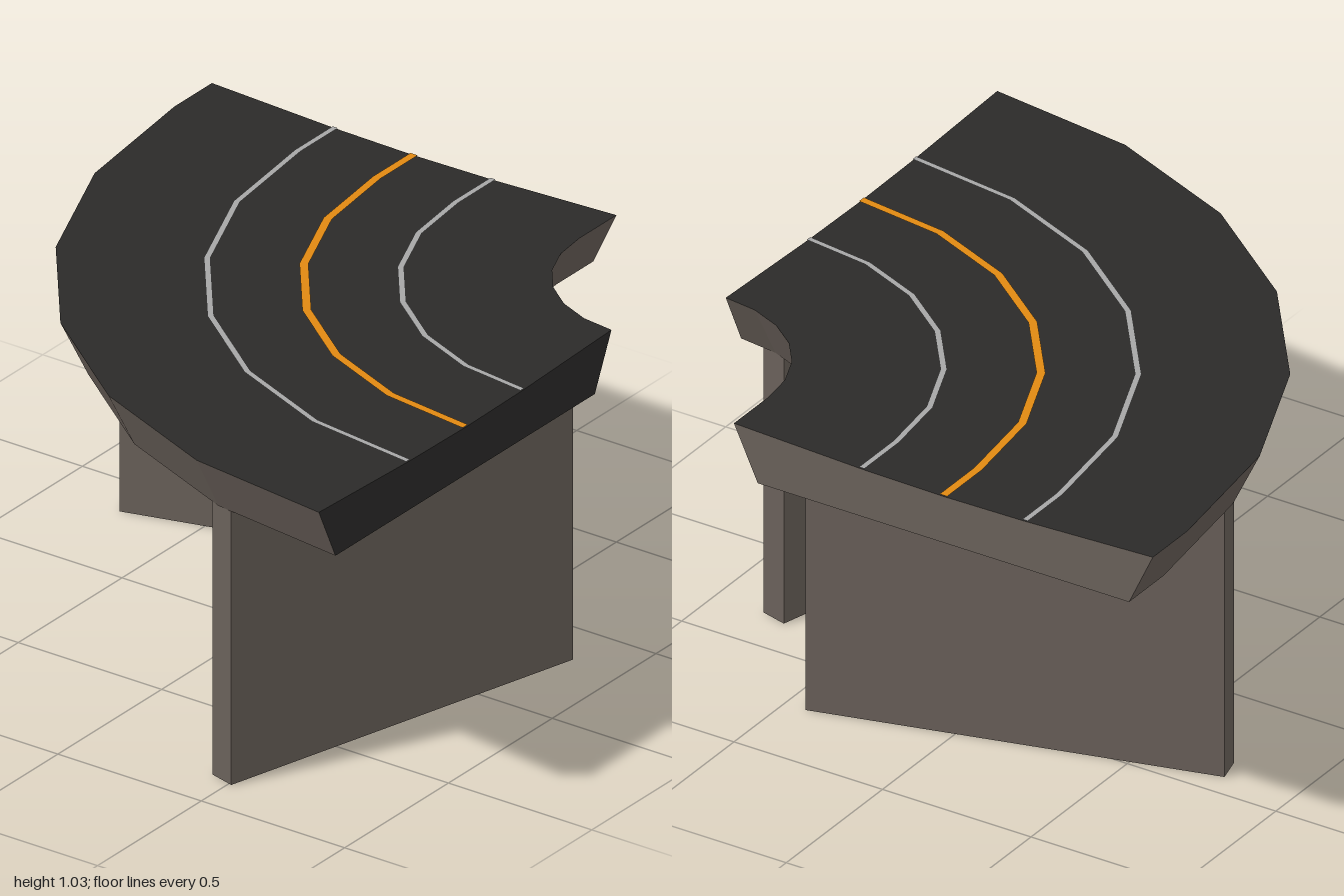
import * as THREE from 'three';

const CX = 0.82, CZ = 0.91;          // centre of the bend
const DEG = Math.PI / 180;

const mat = (color, side = THREE.FrontSide) =>
  new THREE.MeshStandardMaterial({ color, flatShading: true, side });

// Stations along the bend: a short straight lead-in, then 15 degree steps
const stations = [(r, y) => [1, y, CZ - r]];
for (let i = 0; i <= 6; i++) {
  const a = i * 15 * DEG;
  stations.push((r, y) => [CX - r * Math.sin(a), y, CZ - r * Math.cos(a)]);
}

function makeMesh(name, points, material) {
  const geo = new THREE.BufferGeometry();
  geo.setAttribute('position', new THREE.Float32BufferAttribute(points.flat(), 3));
  geo.computeVertexNormals();
  const mesh = new THREE.Mesh(geo, material);
  mesh.name = name;
  return mesh;
}

// Sweep an open profile of [radius, height] points around the bend
function sweep(name, profile, material) {
  const pts = [];
  for (let s = 0; s < stations.length - 1; s++) {
    for (let k = 0; k < profile.length - 1; k++) {
      const a = stations[s](...profile[k]), b = stations[s + 1](...profile[k]);
      const c = stations[s + 1](...profile[k + 1]), d = stations[s](...profile[k + 1]);
      pts.push(a, b, c, a, c, d);
    }
  }
  return makeMesh(name, pts, material);
}

// Close one end of the deck with a fan of triangles
function cap(name, station, section, flip, material) {
  const p = section.map(q => station(...q));
  const last = p[p.length - 1], pts = [];
  for (let i = 0; i < p.length - 2; i++) {
    pts.push(...(flip ? [last, p[i + 1], p[i]] : [last, p[i], p[i + 1]]));
  }
  return makeMesh(name, pts, material);
}

export function createModel() {
  const group = new THREE.Group();
  const asphalt = mat(0x2b2a29);
  const concrete = mat(0x6a615a);

  // Deck: slightly dished road surface on a tapered slab
  const top = [[1.82, 1.035], [1.39, 1.019], [1.115, 1.015], [0.84, 1.019], [0.41, 1.035]];
  const bottom = [[0.49, 0.865], [1.74, 0.865]];
  const section = [...top, ...bottom];
  group.add(sweep('roadSurface', top, asphalt));
  group.add(sweep('deckSlab', [top[4], ...bottom, top[0]], concrete));
  group.add(cap('sideEnd', stations[0], section, false, concrete));
  group.add(cap('frontEnd', stations[stations.length - 1], section, true, asphalt));

  // Lane markings
  const stripe = (name, r, w, y, color) =>
    group.add(sweep(name, [[r + w / 2, y], [r - w / 2, y]], mat(color, THREE.DoubleSide)));
  stripe('outerLaneLine', 1.39, 0.018, 1.023, 0xa6a6a6);
  stripe('centreLine', 1.115, 0.025, 1.019, 0xe08912);
  stripe('innerLaneLine', 0.84, 0.018, 1.023, 0xa6a6a6);

  // Two radial support walls
  const wallGeo = new THREE.BoxGeometry(1.245, 0.865, 0.085);
  for (const [name, x, z, angle] of [
    ['frontSupportWall', -0.257, 0.63, -15],
    ['sideSupportWall', 0.535, -0.16, -75],
  ]) {
    const wall = new THREE.Mesh(wallGeo, concrete);
    wall.name = name;
    wall.position.set(x, 0.4325, z);
    wall.rotation.y = angle * DEG;
    group.add(wall);
  }
  return group;
}
